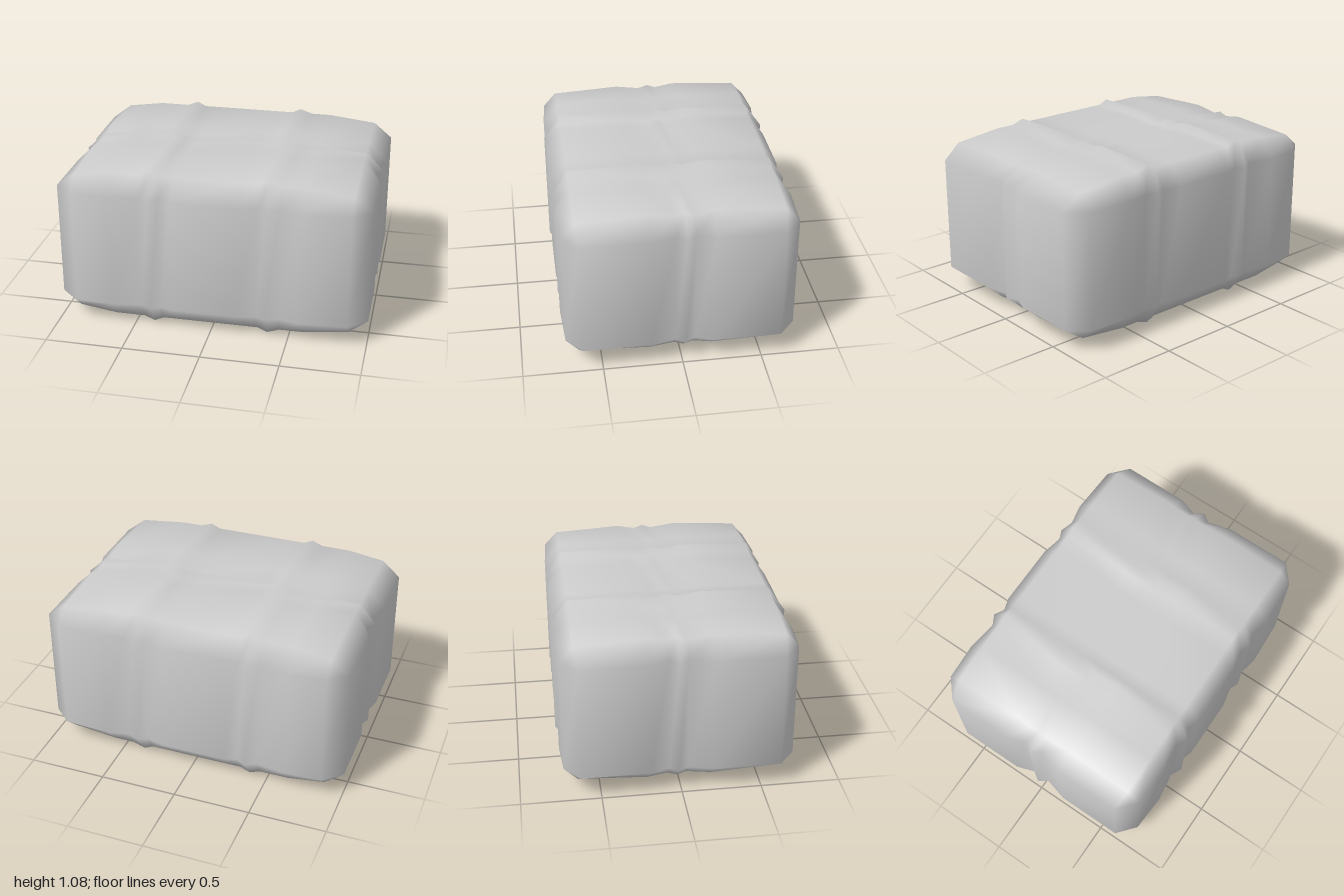
import * as THREE from 'three';

// Stations across the bale: [position, side dent, top swell]; each strap is a ridge between two dents
const X = [
  [-0.88, -0.015, -0.02], [-0.64, 0, 0], [-0.45, -0.027, 0], [-0.38, 0.01, 0.028], [-0.32, -0.025, 0.0], [-0.24, 0, 0],
  [0.17, 0, 0], [0.3, -0.027, 0], [0.36, 0, 0.028], [0.44, -0.027, 0.0], [0.57, 0, 0], [0.88, -0.015, -0.02],
];
const Z = [
  [-0.64, 0, -0.01], [-0.2, 0, 0], [-0.08, -0.04, -0.022], [-0.02, 0, -0.002], [0.04, -0.04, -0.022], [0.2, 0, 0], [0.64, 0, -0.01],
];
const nx = X.length, nz = Z.length;

function baleGeometry() {
  const pos = [], index = [];
  const add = (x, y, z) => pos.push(x, y, z) / 3 - 1;
  const tri = (a, b, c) => { if (a !== b && b !== c && a !== c) index.push(a, b, c); };
  const quad = (a, b, c, d) => { tri(a, b, c); tri(a, c, d); };

  // Top and bottom faces as grids that swell at the straps
  const cap = (y, dir) => X.map(([x, , sx], i) => Z.map(([z, , sz], j) => {
    const corner = (i === 0 || i === nx - 1) && (j === 0 || j === nz - 1);
    return add(x, y + dir * (sx + sz - (corner ? 0.015 : 0)), z);
  }));
  const bottom = cap(0.033, -1), top = cap(1.052, 1);
  for (let i = 0; i < nx - 1; i++) for (let j = 0; j < nz - 1; j++) {
    quad(top[i][j + 1], top[i + 1][j + 1], top[i + 1][j], top[i][j]);
    quad(bottom[i][j], bottom[i + 1][j], bottom[i + 1][j + 1], bottom[i][j + 1]);
  }

  // Outline walked once around the bale, each point tied to a cap border point
  const outline = [];
  for (let i = 0; i < nx; i++) outline.push([i, nz - 1, X[i][0], 0.737 + X[i][1]]);
  for (let j = nz - 1; j >= 0; j--) outline.push([nx - 1, j, 1 + Z[j][1], Z[j][0] * 0.97]);
  for (let i = nx - 1; i >= 0; i--) outline.push([i, 0, X[i][0], -0.74 - X[i][1]]);
  for (let j = 0; j < nz; j++) outline.push([0, j, -1 - Z[j][1], Z[j][0] * 0.97]);

  // Walls with bevels joining them to both caps
  const rows = [
    outline.map(([i, j]) => bottom[i][j]),
    outline.map(([, , x, z]) => add(x, 0.16, z)),
    outline.map(([, , x, z]) => add(x, 0.915, z)),
    outline.map(([i, j]) => top[i][j]),
  ];
  for (let r = 0; r < 3; r++) for (let k = 0; k < outline.length; k++) {
    const n = (k + 1) % outline.length;
    quad(rows[r][k], rows[r][n], rows[r + 1][n], rows[r + 1][k]);
  }

  const geometry = new THREE.BufferGeometry();
  geometry.setAttribute('position', new THREE.Float32BufferAttribute(pos, 3));
  geometry.setIndex(index);
  geometry.computeVertexNormals();
  return geometry;
}

export function createModel() {
  const group = new THREE.Group();
  group.name = 'strappedBale';
  const bale = new THREE.Mesh(baleGeometry(), new THREE.MeshStandardMaterial({ color: 0xcccccc }));
  bale.name = 'baleWithStraps';
  group.add(bale);
  return group;
}
